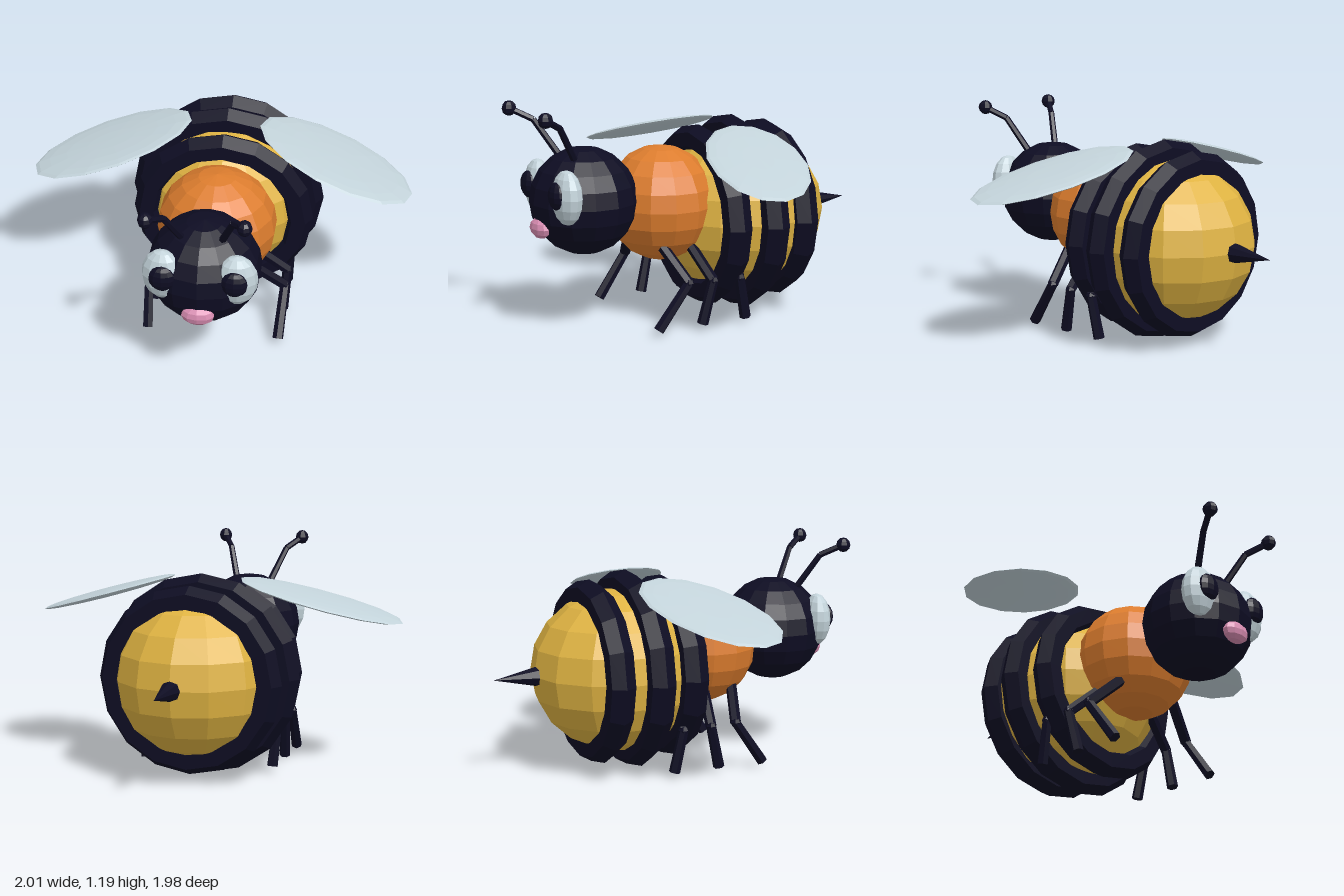
import * as THREE from 'three';

const paint = (name, color) => {
  const m = new THREE.MeshStandardMaterial({ color });
  m.name = name;
  return m;
};

export function createModel() {
  const model = new THREE.Group();
  model.name = 'bee';
  const yellow = paint('honey yellow', 0xdfb342);
  const orange = paint('orange', 0xdd7d2e);
  const dark = paint('dark navy', 0x0e0d23);
  const pale = paint('pale grey blue', 0xc3d3da);
  const pink = paint('pink', 0xd98db2);

  // Adds a faceted mesh
  const add = (name, geometry, material, position = [0, 0, 0]) => {
    const flat = geometry.index ? geometry.toNonIndexed() : geometry;
    flat.computeVertexNormals();
    const mesh = new THREE.Mesh(flat, material);
    mesh.name = name;
    mesh.position.set(...position);
    model.add(mesh);
    return mesh;
  };

  // Faceted ellipsoid with a corner line towards the front
  const blob = (name, material, position, radii, sides = 14, rows = 10) =>
    add(name, new THREE.SphereGeometry(1, sides, rows).rotateY(Math.PI / 2).scale(...radii), material, position);

  // Straight six-sided rod between two points
  const rod = (name, a, b, rStart, rEnd) => {
    const from = new THREE.Vector3(...a), to = new THREE.Vector3(...b);
    const dir = to.clone().sub(from);
    const mesh = add(name, new THREE.CylinderGeometry(rEnd, rStart, dir.length(), 6), dark);
    mesh.position.copy(from).add(to).multiplyScalar(0.5);
    mesh.quaternion.setFromUnitVectors(new THREE.Vector3(0, 1, 0), dir.normalize());
  };

  // Body
  blob('abdomen', yellow, [0, 0.535, -0.285], [0.438, 0.435, 0.485]);
  blob('thorax', orange, [0, 0.627, 0.19], [0.317, 0.308, 0.3]);
  blob('head', dark, [0, 0.685, 0.638], [0.291, 0.282, 0.283]);
  blob('nose', pink, [0, 0.565, 0.885], [0.085, 0.055, 0.048], 10, 6);

  // Raised stripes with a pointed rim
  for (const [z, radius] of [[-0.045, 0.415], [-0.25, 0.455], [-0.455, 0.415]]) {
    add('stripe', new THREE.TorusGeometry(radius, 0.076, 6, 16), dark, [0, 0.535, z]);
  }

  // Stinger
  add('stinger', new THREE.ConeGeometry(0.056, 0.25, 8).rotateX(-Math.PI / 2), dark, [0, 0.537, -0.865]);

  // Hip, knee and foot of each leg on the left side
  const legs = [
    [[0.2, 0.43, 0.28], [0.37, 0.27, 0.22], [0.355, 0.035, 0.39]],
    [[0.2, 0.42, 0.115], [0.37, 0.265, 0.075], [0.355, 0.035, 0.13]],
    [[0.2, 0.41, -0.05], [0.37, 0.26, -0.085], [0.355, 0.035, -0.13]],
  ];

  for (const s of [1, -1]) {
    const side = s > 0 ? 'left' : 'right';
    const flip = ([x, y, z]) => [s * x, y, z];

    // Eyes
    blob(side + 'Eye', pale, [s * 0.184, 0.748, 0.815], [0.106, 0.142, 0.07], 12, 8).rotation.y = s * 0.12;
    blob(side + 'Pupil', dark, [s * 0.178, 0.76, 0.868], [0.068, 0.072, 0.04], 10, 8);

    // Antennae
    const base = flip([0.09, 0.89, 0.715]), bend = flip([0.168, 1.1, 0.84]), tip = flip([0.235, 1.157, 0.945]);
    rod(side + 'AntennaStem', base, bend, 0.019, 0.017);
    rod(side + 'AntennaTop', bend, tip, 0.017, 0.017);
    blob(side + 'AntennaBall', dark, tip, [0.038, 0.04, 0.04], 8, 6);

    // Legs
    for (const leg of legs) {
      const [hip, knee, foot] = leg.map(flip);
      rod(side + 'Thigh', hip, knee, 0.029, 0.029);
      rod(side + 'Shin', knee, foot, 0.026, 0.03);
      blob(side + 'Knee', dark, knee, [0.028, 0.028, 0.028], 6, 4);
    }

    // Wings, swept forwards and drooping outwards
    const wing = blob(side + 'Wing', pale, [s * 0.595, 0.922, -0.05], [0.445, 0.024, 0.262]);
    wing.rotation.set(0, -s * 0.345, -s * 0.277, 'ZYX');
  }

  return model;
}
